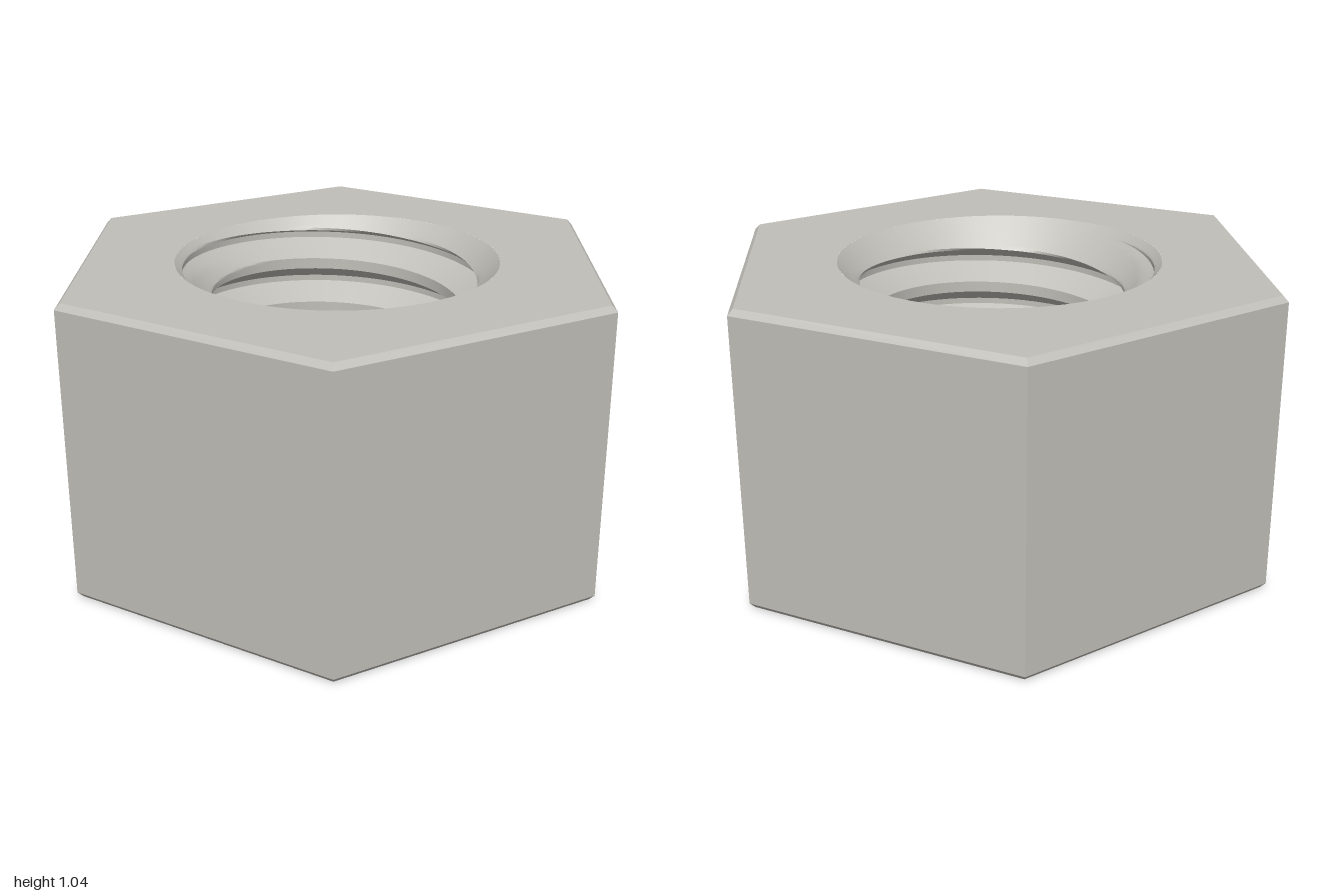
import * as THREE from 'three';
import { toCreasedNormals } from 'three/addons/utils/BufferGeometryUtils.js';

const H = 1.04, BEVEL = 0.02;              // nut height and outer edge bevel
const BORE = 0.43, ROOT = 0.525, RIM = 0.55; // crest, groove and countersink radii
const SINK = 0.12, PITCH = 0.17, SEG = 96;

// One thread pitch as [height, radius], going up from the top of a groove
const PROFILE = [[0, BORE], [0.039, BORE], [0.094, ROOT], [0.115, ROOT], [PITCH, BORE]];
const STEPS = 6;

// Countersink cones at both mouths of the hole
function coneRadius(y) {
  const depth = Math.min(y, H - y);
  return RIM - (RIM - BORE) * depth / SINK;
}

// Helical thread whose rows follow the spiral, cut by the countersinks
function threadGeometry() {
  const rows = [];
  for (let k = -8; k <= 2; k++) {
    for (let p = 0; p < PROFILE.length - 1; p++) {
      const [y0, r0] = PROFILE[p], [y1, r1] = PROFILE[p + 1];
      for (let s = 0; s < STEPS; s++) {
        const f = s / STEPS;
        rows.push([0.92 + k * PITCH + y0 + (y1 - y0) * f, r0 + (r1 - r0) * f]);
      }
    }
  }
  const point = (row, i) => {
    const t = (i / SEG) * Math.PI * 2;
    const y = THREE.MathUtils.clamp(row[0] + PITCH * (i / SEG - 0.5), 0, H);
    const r = y === 0 || y === H ? RIM : Math.max(row[1], coneRadius(y));
    return new THREE.Vector3(r * Math.cos(t), y, -r * Math.sin(t));
  };
  const pos = [];
  const addFace = (...corners) => {
    if (corners.every((c) => c.y === corners[0].y && (c.y === 0 || c.y === H))) return;
    if (new THREE.Triangle(...corners).getArea() < 1e-9) return;
    corners.forEach((c) => pos.push(c.x, c.y, c.z));
  };
  for (let j = 0; j < rows.length - 1; j++) {
    for (let i = 0; i < SEG; i++) {
      const a = point(rows[j], i), b = point(rows[j], i + 1);
      const c = point(rows[j + 1], i + 1), d = point(rows[j + 1], i);
      addFace(a, d, b);
      addFace(b, d, c);
    }
  }
  const geo = new THREE.BufferGeometry();
  geo.setAttribute('position', new THREE.Float32BufferAttribute(pos, 3));
  return toCreasedNormals(geo, 0.45);
}

// Six bevelled outer walls
function wallGeometry() {
  const outline = [[1 - BEVEL, 0], [1, BEVEL], [1, H - BEVEL], [1 - BEVEL, H]];
  const lathe = new THREE.LatheGeometry(
    outline.map(([x, y]) => new THREE.Vector2(x, y)), 6, Math.PI / 6);
  const geo = lathe.toNonIndexed();
  geo.computeVertexNormals();
  return geo;
}

// Flat hexagonal face with a round hole
function faceGeometry() {
  const shape = new THREE.Shape();
  for (let i = 0; i < 6; i++) {
    const t = i * Math.PI / 3, r = 1 - BEVEL;
    shape[i ? 'lineTo' : 'moveTo'](r * Math.cos(t), r * Math.sin(t));
  }
  shape.closePath();
  const hole = new THREE.Path();
  hole.absarc(0, 0, RIM, 0, Math.PI * 2, true);
  shape.holes.push(hole);
  return new THREE.ShapeGeometry(shape, SEG);
}

export function createModel() {
  const steel = new THREE.MeshStandardMaterial({ color: 0xc0beb8 });
  steel.name = 'steel';
  const nut = new THREE.Group();
  nut.name = 'hexNut';
  const add = (name, geo) => {
    const mesh = new THREE.Mesh(geo, steel);
    mesh.name = name;
    nut.add(mesh);
  };
  add('outerWalls', wallGeometry());
  add('topFace', faceGeometry().rotateX(-Math.PI / 2).translate(0, H, 0));
  add('bottomFace', faceGeometry().rotateX(Math.PI / 2));
  add('threadedHole', threadGeometry());
  return nut;
}
